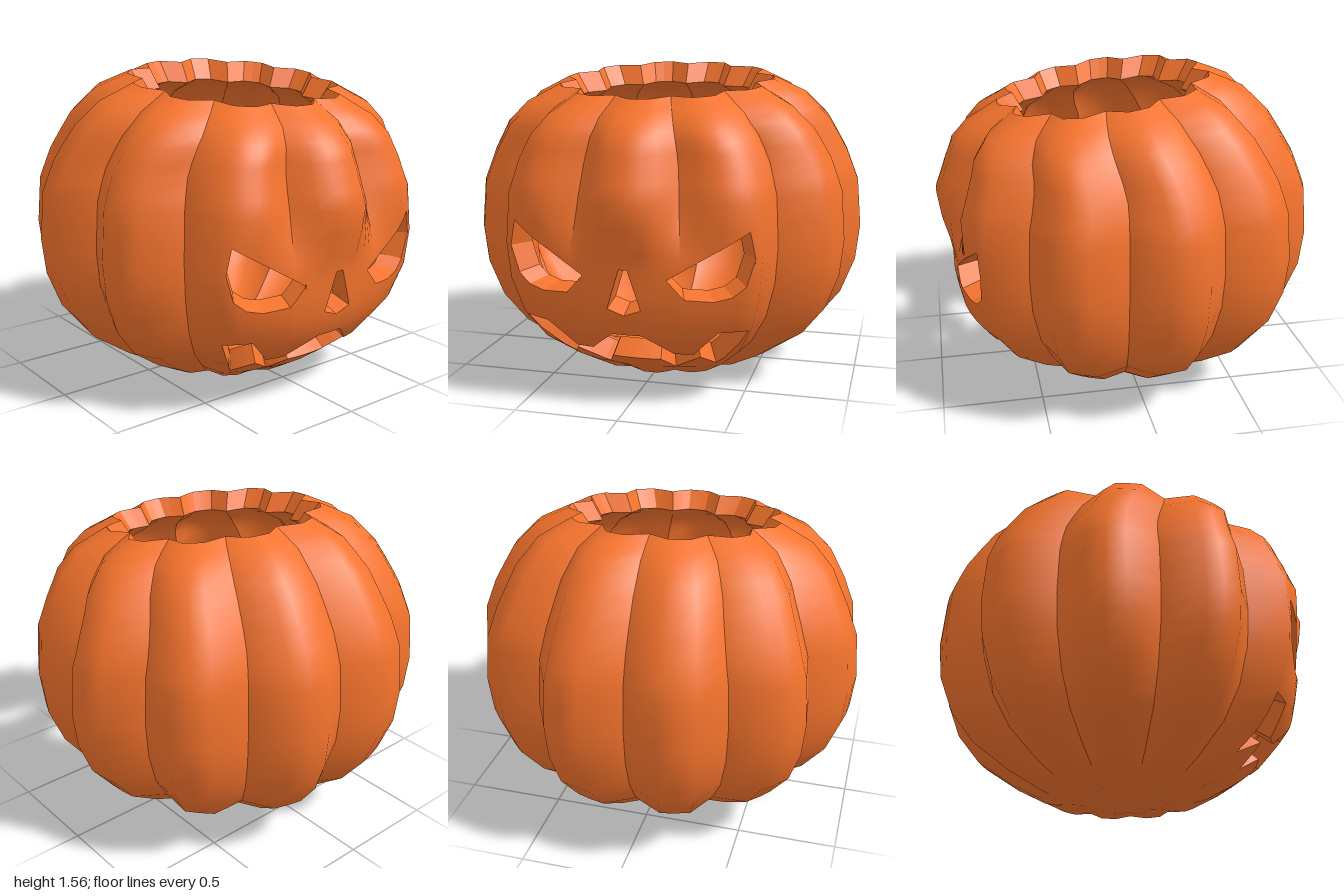
import * as THREE from 'three';

const LOBES = 11, STEP = (Math.PI * 2) / LOBES;
const FACE = STEP * (1 + 1 / 6); // half angle of the flattened face panel
const { lerp, smoothstep, clamp } = THREE.MathUtils;

// Body profile, bottom to rim: radius, height
const PROFILE = [[0, 0.03], [0.25, 0.01], [0.44, 0.035], [0.6, 0.12], [0.79, 0.25], [0.91, 0.4], [0.98, 0.58],
  [1.0, 0.76], [0.98, 1.0], [0.92, 1.155], [0.83, 1.32], [0.72, 1.435], [0.55, 1.52]];
const TOP = PROFILE.length - 1;

function profile(v) {
  const i = Math.min(Math.floor(v), TOP - 1), t = v - i;
  return [0, 1].map((k) => lerp(PROFILE[i][k], PROFILE[i + 1][k], t));
}

// Ribbed radius factor, with the grooves filled across the face panel
function rib(theta, y) {
  const a = theta / STEP + 0.5, d = Math.abs(a - Math.floor(a) - 0.5);
  const lobe = lerp(1, 0.87, Math.max(0, (d - 1 / 6) * 3));
  const p = Math.abs(theta) / FACE;
  if (p >= 1) return lobe;
  const middle = lerp(0.97, 0.92, smoothstep(y, 0.35, 0.7));
  const panel = lerp(middle, 1, p * p);
  const w = (1 - smoothstep(y, 0.7, 1.0)) * smoothstep(y, 0, 0.15);
  return lerp(lobe, panel, w);
}

// Point on the outer skin or the inner wall
function point(theta, v, inner) {
  const [radius, y0] = profile(v);
  const r = radius * rib(theta, y0) * (inner ? 0.88 : 1);
  const tilt = smoothstep(y0, 1.1, 1.5);
  const z = r * Math.cos(theta) * 0.98;
  const y = (inner ? 0.1 + y0 * 0.868 : y0) - (z + 0.09 * tilt) * 0.125 * tilt;
  return new THREE.Vector3(r * Math.sin(theta), y, z + 0.09 * tilt);
}

// Convert a front position into surface coordinates
function toSurface([x, y]) {
  let lo = 1, hi = TOP;
  for (let i = 0; i < 30; i++) {
    const m = (lo + hi) / 2;
    if (profile(m)[1] < y) lo = m; else hi = m;
  }
  const radius = profile(lo)[0];
  let theta = 0;
  for (let i = 0; i < 12; i++) theta = Math.asin(clamp(x / (radius * rib(theta, y)), -0.61, 0.61));
  return [theta, lo];
}

// Carved openings
const mirror = (pts) => pts.map(([x, y]) => [-x, y]);
const eye = [[0.2, 0.65], [0.38, 0.76], [0.565, 0.875], [0.59, 0.75], [0.55, 0.62], [0.49, 0.57], [0.41, 0.55], [0.28, 0.56]];
const nose = [[-0.02, 0.69], [0.02, 0.69], [0.08, 0.5], [0, 0.47], [-0.08, 0.5]];
const upperLip = [[0.07, 0.365], [0.2, 0.255], [0.29, 0.25], [0.42, 0.385], [0.555, 0.387]];
const lowerLip = [[0.36, 0.15], [0.31, 0.22], [0.166, 0.13], [0.12, 0.2]];
const halfMouth = [...upperLip, ...lowerLip];
const mouth = [...halfMouth, ...mirror(halfMouth).reverse()];
const HOLES = [eye, mirror(eye), nose, mouth].map((h) => h.map(toSurface));
const EDGES = HOLES.flatMap((h) => h.map((p, i) => [p, h[(i + 1) % h.length]]));

// Collects quads with given or flat normals
class Builder {
  pos = [];
  nor = [];
  quad(pts, normals) {
    for (const tri of [[0, 1, 2], [0, 2, 3]]) {
      const [a, b, c] = tri.map((i) => pts[i]);
      const n = b.clone().sub(a).cross(c.clone().sub(a));
      if (n.length() < 1e-9) continue;
      n.normalize();
      for (const i of tri) {
        this.pos.push(...pts[i].toArray());
        this.nor.push(...(normals ? normals[i] : n).toArray());
      }
    }
  }
  mesh(name, material) {
    const g = new THREE.BufferGeometry();
    g.setAttribute('position', new THREE.Float32BufferAttribute(this.pos, 3));
    g.setAttribute('normal', new THREE.Float32BufferAttribute(this.nor, 3));
    const m = new THREE.Mesh(g, material);
    m.name = name;
    return m;
  }
}

// Smooth normal that stays inside one lobe, so grooves remain sharp
function normalAt(theta, v, from, to, inner) {
  const e = STEP / 6, vv = clamp(v, 0.3, TOP);
  const du = point(Math.min(theta + e, to), vv, inner).sub(point(Math.max(theta - e, from), vv, inner));
  const dv = point(theta, Math.min(vv + 0.5, TOP), inner).sub(point(theta, Math.max(vv - 0.5, 0), inner));
  return du.cross(dv).normalize().multiplyScalar(inner ? -1 : 1);
}

export function createModel() {
  const group = new THREE.Group();
  group.name = 'carvedPumpkin';
  const material = new THREE.MeshStandardMaterial({ color: 0xf5732d });
  const skin = new Builder(), lining = new Builder(), cuts = new Builder();

  const wall = (a, b) => cuts.quad([point(...a), point(...b), point(...b, true), point(...a, true)]);

  for (let k = 0; k < LOBES; k++) {
    const c = (k - 5) * STEP, from = c - STEP / 2 + 1e-7, to = c + STEP / 2 - 1e-7;
    // Columns at the lobe corners and at every corner of an opening
    const cols = [from, c - STEP / 6, c, c + STEP / 6, to];
    for (const [t] of HOLES.flat()) if (t > from && t < to) cols.push(t);
    cols.sort((a, b) => a - b);

    for (let i = 0; i + 1 < cols.length; i++) {
      const t0 = cols[i], t1 = cols[i + 1], mid = (t0 + t1) / 2;
      if (t1 - t0 < 1e-6) continue;
      // Opening borders crossing this column, from low to high
      const cross = EDGES.filter(([p, q]) => (p[0] - mid) * (q[0] - mid) < 0).map(([p, q]) => {
        const at = (t) => lerp(p[1], q[1], (t - p[0]) / (q[0] - p[0]));
        return [at(t0), at(t1)];
      }).sort((a, b) => a[0] + a[1] - b[0] - b[1]);

      cross.forEach(([a, b], j) => (j % 2 ? wall([t1, b], [t0, a]) : wall([t0, a], [t1, b])));
      wall([t0, TOP], [t1, TOP]); // top rim

      // Solid spans between the openings
      const borders = [[0, 0], ...cross, [TOP, TOP]];
      for (let j = 0; j < borders.length; j += 2) {
        const [lo, hi] = [borders[j], borders[j + 1]];
        for (let v = 0; v < TOP; v += 0.5) {
          const at = (s, w) => [s ? t1 : t0, clamp(w, lo[s], Math.max(lo[s], hi[s]))];
          const uv = [at(0, v), at(1, v), at(1, v + 0.5), at(0, v + 0.5)];
          for (const inner of [false, true]) {
            const order = inner ? [...uv].reverse() : uv;
            (inner ? lining : skin).quad(order.map((p) => point(...p, inner)),
              order.map((p) => normalAt(...p, from, to, inner)));
          }
        }
      }
    }
  }

  group.add(skin.mesh('outerSkin', material), lining.mesh('innerWall', material), cuts.mesh('cutEdges', material));
  return group;
}
